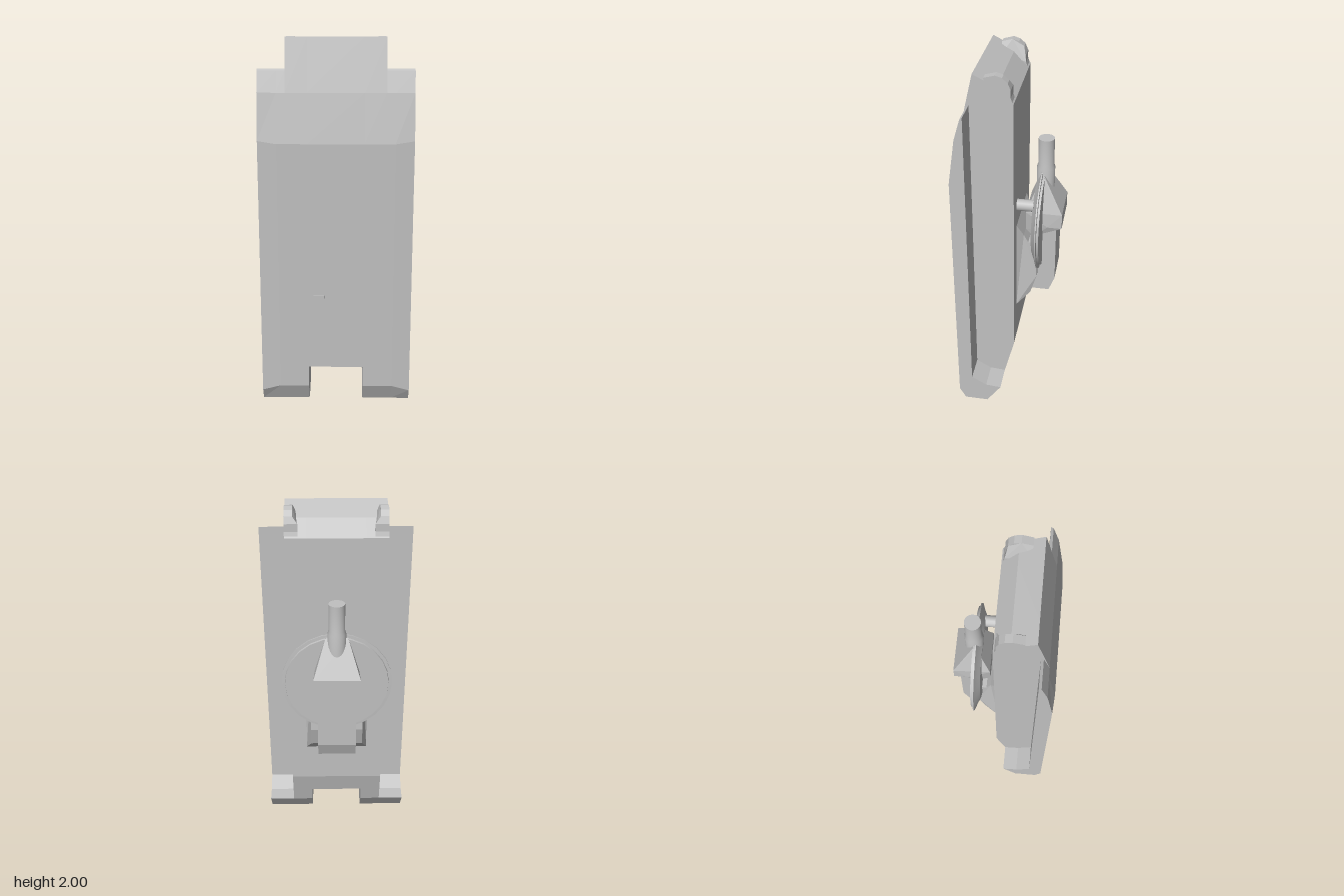
import * as THREE from 'three';
import { toCreasedNormals } from 'three/addons/utils/BufferGeometryUtils.js';
import { ConvexGeometry } from 'three/addons/geometries/ConvexGeometry.js';

export function createModel() {
  const model = new THREE.Group();
  const grey = new THREE.MeshStandardMaterial({ color: 0xc0c0c0 });
  grey.name = 'grey';

  const add = (name, geometry, parent = model) => {
    const mesh = new THREE.Mesh(geometry, grey);
    mesh.name = name;
    parent.add(mesh);
    return mesh;
  };

  // Extrudes a [z, y] side profile from x0 to x1; rule may move each vertex
  const slab = (profile, x0, x1, rule) => {
    const shape = new THREE.Shape(profile.map(([z, y]) => new THREE.Vector2(z, y)));
    const g = new THREE.ExtrudeGeometry(shape, { depth: x1 - x0, bevelEnabled: false });
    g.rotateY(-Math.PI / 2).translate(x1, 0, 0);
    if (rule) {
      const p = g.attributes.position, v = new THREE.Vector3();
      for (let i = 0; i < p.count; i++) {
        rule(v.fromBufferAttribute(p, i));
        p.setXYZ(i, v.x, v.y, v.z);
      }
      g.computeVertexNormals();
    }
    return g;
  };

  // Hull: a middle with the notch below it, then legs, wings and lugs per side
  const roof = [[0.225, 1.72], [0.16, 2.0], [0.04, 1.94], [-0.04, 1.86], [-0.04, 0.335]];
  add('hullMiddle', slab([[0.268, 0.21], [0.268, 1.46], ...roof, [-0.009, 0.21]], -0.15, 0.15));

  const legProfile = [[0.225, 0], [0.268, 0.095], [0.268, 1.46], ...roof, [0.015, 0.115], [0.095, 0]];
  const wingProfile = [[0.225, 0], [0.268, 0.095], [0.268, 1.46], [0.225, 1.72], [0.193, 1.83],
    [0.18, 1.84], [0.183, 0.17], [0.1, 0.122], [0.015, 0.115], [0.095, 0]];
  const lugProfile = [[0.1, 1.93], [0.105, 1.985], [0.05, 2.0], [0.015, 1.99], [-0.012, 1.965],
    [-0.026, 1.93], [-0.026, 1.89], [-0.035, 1.86]];

  // Outer corner of the front plate falls back slightly
  const softenEdge = (v) => {
    if (Math.abs(v.x) < 0.4 || v.z < 0.26) return;
    v.z = 0.26;
    v.y = v.y > 1 ? 1.475 : 0.065;
  };
  // Inner face of each lug leans outwards at the top
  const leanLug = (v) => {
    if (Math.abs(v.x) < 0.2 && v.y > 1.96) v.x = Math.sign(v.x) * 0.222;
  };

  for (const side of [1, -1]) {
    const group = new THREE.Group();
    group.name = side > 0 ? 'leftSide' : 'rightSide';
    model.add(group);
    const part = (name, profile, a, b, rule) =>
      add(name, slab(profile, Math.min(side * a, side * b), Math.max(side * a, side * b), rule), group);
    part('hullLeg', legProfile, 0.15, 0.265);
    part('wingInner', wingProfile, 0.265, 0.31);
    part('wingOuter', wingProfile, 0.31, 0.41, softenEdge);
    part('topLug', lugProfile, 0.195, 0.265, leanLug);
  }

  // Small rectangular stud on the front
  add('frontStud', new THREE.BoxGeometry(0.06, 0.124, 0.02)).position.set(-0.09, 0.573, 0.27);

  // Bracket on the back, narrowing away from the hull
  add('bracket', slab([[-0.038, 0.56], [-0.038, 1.11], [-0.075, 1.03], [-0.1, 0.985], [-0.14, 0.98],
    [-0.15, 0.76], [-0.115, 0.64]], -0.145, 0.145, (v) => {
    if (v.z > -0.05) v.x = Math.sign(v.x) * 0.175;
  }));

  // Round dish with a thin rim
  const dish = new THREE.LatheGeometry([[0, -0.172], [0.28, -0.172], [0.282, -0.161], [0.3, -0.16],
    [0.3, -0.153], [0.27, -0.143], [0.23, -0.125], [0, -0.125]].map(([r, y]) => new THREE.Vector2(r, y)), 24);
  dish.rotateX(Math.PI / 2);
  add('dish', toCreasedNormals(dish, 0.35)).position.set(0, 1.08, 0);

  // Pin between hull and dish
  const pin = new THREE.CylinderGeometry(0.032, 0.032, 0.1, 16).rotateX(Math.PI / 2);
  add('pin', pin).position.set(0.155, 1.23, -0.08);

  // Block hanging below the wedge
  add('lowerBlock', slab([[-0.115, 0.64], [-0.15, 0.76], [-0.15, 1.12], [-0.247, 1.12],
    [-0.247, 0.725], [-0.215, 0.64]], -0.105, 0.105));

  // Wedge housing rising to a narrow ridge
  const corners = [];
  for (const s of [1, -1]) {
    for (const [x, y, z] of [[0.125, 1.08, -0.278], [0.125, 1.165, -0.278], [0.06, 1.36, -0.17],
      [0.06, 1.36, -0.155], [0.115, 1.16, -0.08], [0.1, 1.04, -0.08], [0.1, 1.0, -0.12],
      [0.125, 1.08, -0.2]]) corners.push(new THREE.Vector3(s * x, y, z));
  }
  add('wedgeHousing', new ConvexGeometry(corners));

  // Barrel with a wider sleeve at its foot
  const barrel = new THREE.LatheGeometry([[0, 1.15], [0.049, 1.15], [0.049, 1.39], [0.043, 1.41],
    [0.043, 1.56], [0, 1.56]].map(([r, y]) => new THREE.Vector2(r, y)), 24);
  add('barrel', toCreasedNormals(barrel, 0.5)).position.set(0, 0, -0.17);

  return model;
}
